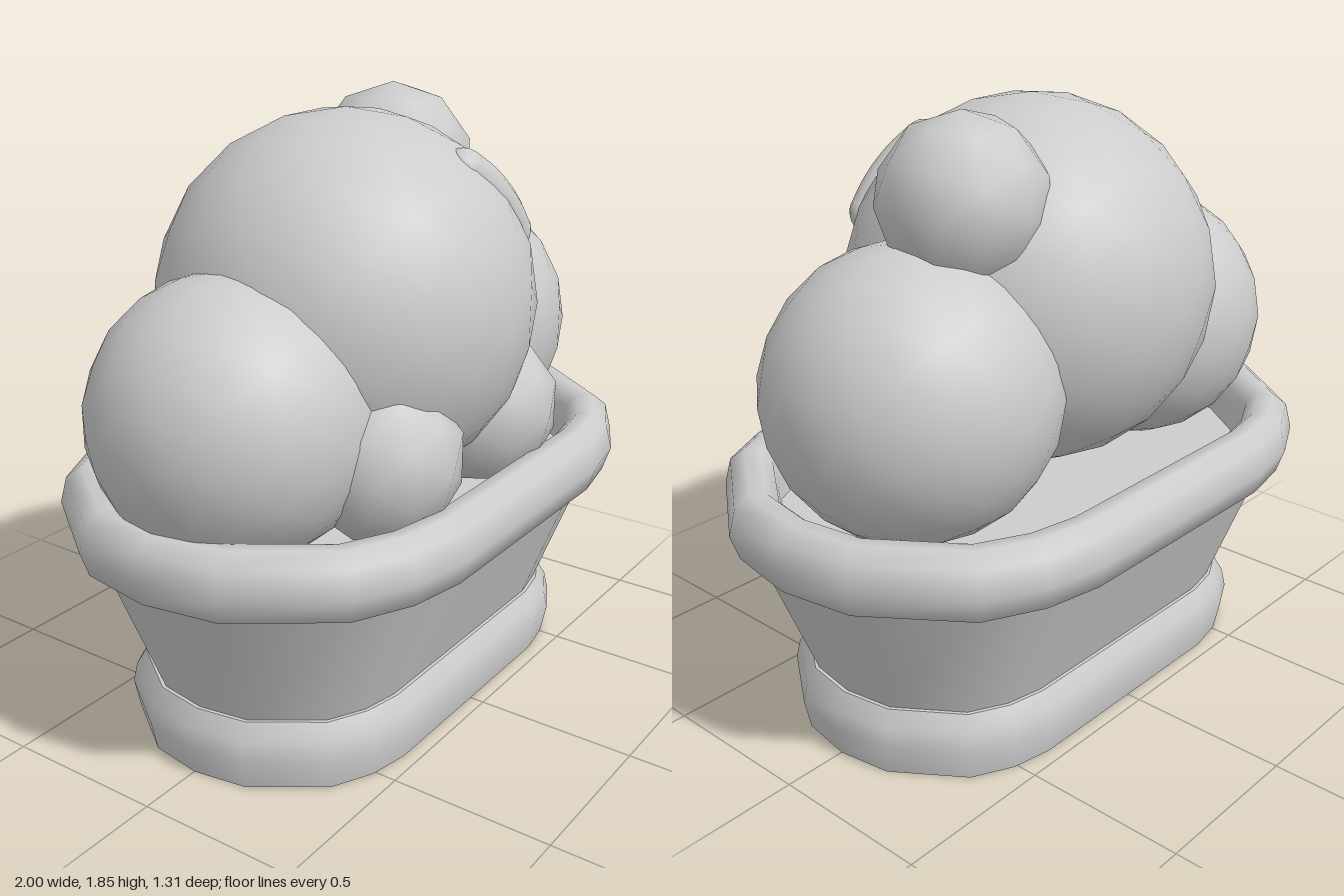
import * as THREE from 'three';
import { toCreasedNormals } from 'three/addons/utils/BufferGeometryUtils.js';

// Quarter of the rounded oval plan, from the end (+x) to the straight side (+z)
const QUARTER = [[1, 0], [0.96, 0.24], [0.75, 0.53], [0.57, 0.62], [0.385, 0.655]];
const HALF = [...QUARTER, ...QUARTER.slice().reverse().map(([x, z]) => [-x, z])];
const OUTLINE = [...HALF, ...HALF.slice(1, -1).reverse().map(([x, z]) => [x, -z])];

// Sweep a profile of [inset, y] around the oval; an inset of null closes to the centre
function ovalLoft(profile) {
  const n = OUTLINE.length, pos = [], idx = [];
  for (const [d, y] of profile) {
    for (const [x, z] of OUTLINE) {
      if (d === null) { pos.push(0, y, 0); continue; }
      const px = 0.385 + (Math.abs(x) - 0.385) * (0.615 - d) / 0.615;
      pos.push(Math.sign(x) * px, y, z * (0.655 - d) / 0.655);
    }
  }
  for (let i = 0; i < profile.length - 1; i++) {
    for (let j = 0; j < n; j++) {
      const a = i * n + j, b = i * n + (j + 1) % n, c = a + n, e = b + n;
      if (profile[i][0] !== null) idx.push(a, c, b);
      if (profile[i + 1][0] !== null) idx.push(b, c, e);
    }
  }
  const g = new THREE.BufferGeometry();
  g.setAttribute('position', new THREE.Float32BufferAttribute(pos, 3));
  g.setIndex(idx);
  return toCreasedNormals(g, 0.95);
}

export function createModel() {
  const group = new THREE.Group();
  const grey = new THREE.MeshStandardMaterial({ color: 0xcccccc });
  grey.name = 'light grey';
  const add = (name, geometry, p = [0, 0, 0]) => {
    const mesh = new THREE.Mesh(geometry, grey);
    mesh.name = name;
    mesh.position.set(...p);
    group.add(mesh);
    return mesh;
  };

  // Oval tub: foot, sloping wall, rolled rim and inside floor
  add('foot', ovalLoft([[null, 0], [0.2, 0], [0.182, 0.09], [0.195, 0.15], [0.225, 0.2], [0.27, 0.2]]));
  add('wall', ovalLoft([[0.24, 0.19], [0.08, 0.61]]));
  add('rim', ovalLoft([[0.12, 0.6], [0.075, 0.6], [0.025, 0.625], [0, 0.7], [0.02, 0.78],
    [0.065, 0.815], [0.115, 0.81], [0.15, 0.775], [0.16, 0.71], [0.17, 0.64]]));
  add('floor', ovalLoft([[0.15, 0.65], [null, 0.65]]));

  // Piled balls: name, radius, subdivision, centre
  const balls = [
    ['bigBall', 0.567, 3, [-0.08, 1.26, 0.03]],
    ['leftBall', 0.438, 3, [0.48, 1.065, -0.02]],
    ['rightBall', 0.415, 3, [-0.575, 1.035, 0]],
    ['topBall', 0.252, 1, [0.315, 1.595, -0.07]],
    ['frontRightBall', 0.245, 1, [-0.35, 0.92, 0.335]],
    ['frontLeftBall', 0.245, 1, [0.2, 0.91, 0.335]],
  ];
  for (const [name, r, detail, p] of balls) add(name, new THREE.IcosahedronGeometry(r, detail), p);

  // Raised rounded bar following the big ball's surface
  const centre = new THREE.Vector3(...balls[0][3]);
  const from = new THREE.Vector3(0.14, 0.43, 0.34), to = new THREE.Vector3(0.335, 0.215, 0.4);
  const path = [0, 0.25, 0.5, 0.75, 1].map(t =>
    from.clone().lerp(to, t).setLength(0.524).add(centre));
  add('bar', new THREE.TubeGeometry(new THREE.CatmullRomCurve3(path), 12, 0.065, 12));
  for (const end of [path[0], path[4]]) add('barEnd', new THREE.SphereGeometry(0.065, 14, 10), end.toArray());

  return group;
}
